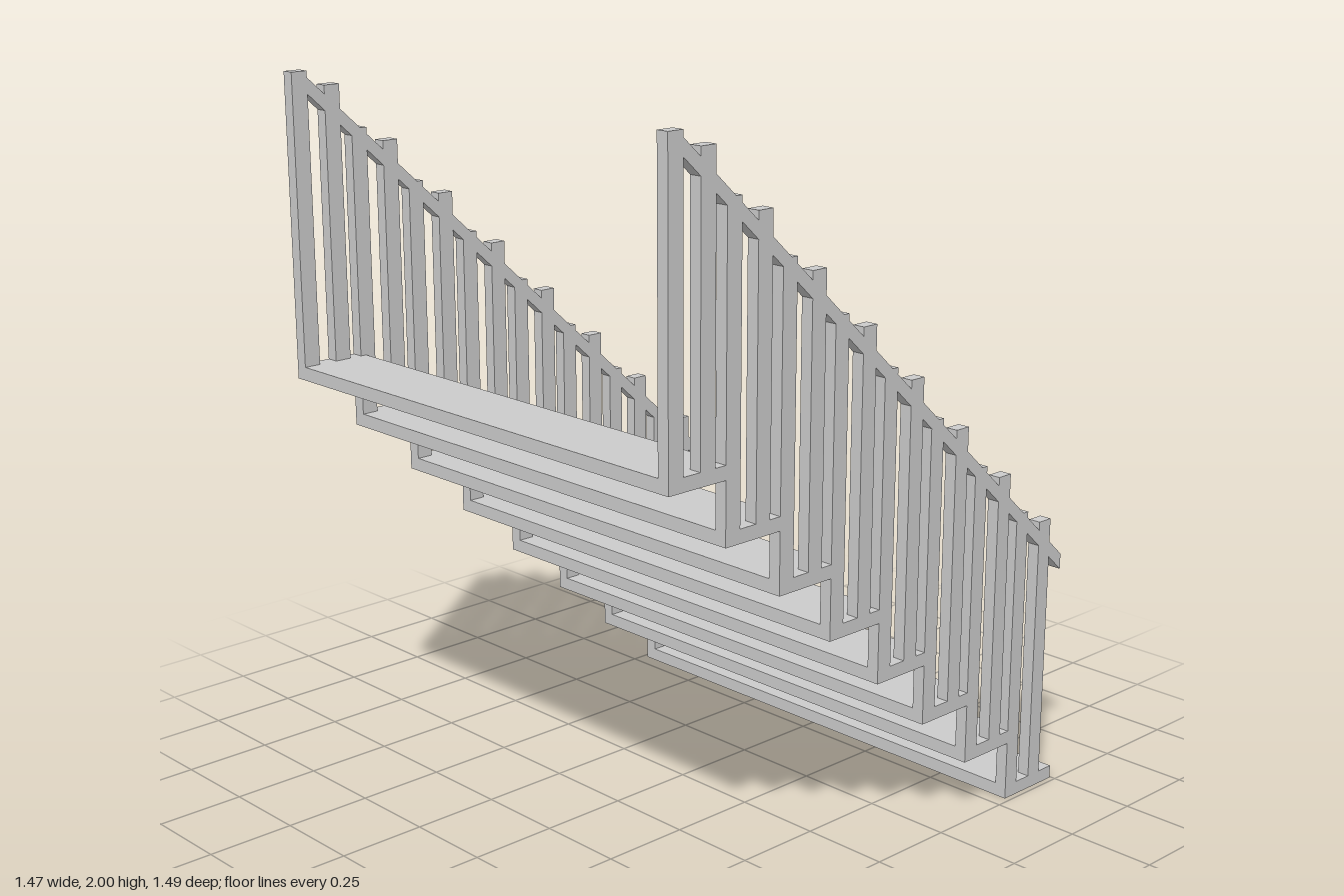
import * as THREE from 'three';

export function createModel() {
  const model = new THREE.Group();
  model.name = 'staircase';
  const material = new THREE.MeshStandardMaterial({ color: 0xcccccc, flatShading: true });

  const steps = 8, rise = 0.1668, run = 0.184;
  const halfWidth = 0.735, treadHeight = 0.037, treadDepth = 0.202;
  const postWidth = 0.035, postDepth = 0.048;

  // Box given by its x centre, bottom and front edge
  function addBox(parent, name, width, height, depth, x, bottom, front) {
    const mesh = new THREE.Mesh(new THREE.BoxGeometry(width, height, depth), material);
    mesh.name = name;
    mesh.position.set(x, bottom + height / 2, front - depth / 2);
    parent.add(mesh);
  }

  // Treads, climbing towards the front
  const frontEdge = (i) => -0.543 + run * i;
  for (let i = 0; i < steps; i++) {
    addBox(model, 'tread', halfWidth * 2, treadHeight, treadDepth, 0, rise * i, frontEdge(i));
  }

  // Sloping handrail outline in (z, y), with upright cut ends
  const slope = rise / run;
  const railTop = (z) => 0.675 + (z + 0.745) * slope;
  const low = -0.745, high = 0.71, thickness = 0.044;
  const outline = new THREE.Shape([
    new THREE.Vector2(low, railTop(low) - thickness),
    new THREE.Vector2(high, railTop(high) - thickness),
    new THREE.Vector2(high, railTop(high)),
    new THREE.Vector2(low, railTop(low)),
  ]);
  const railGeometry = new THREE.ExtrudeGeometry(outline, { depth: postWidth, bevelEnabled: false });
  railGeometry.translate(0, 0, -postWidth / 2);
  railGeometry.rotateY(-Math.PI / 2);

  // One railing on each side: two posts per tread and a handrail
  for (const side of [-1, 1]) {
    const railing = new THREE.Group();
    railing.name = side > 0 ? 'leftRailing' : 'rightRailing';
    const x = side * (halfWidth - postWidth / 2);
    for (let i = 0; i < steps; i++) {
      const bottom = rise * i + treadHeight;
      addBox(railing, 'frontPost', postWidth, 0.7955, postDepth, x, bottom, frontEdge(i));
      addBox(railing, 'backPost', postWidth, 0.753, postDepth, x, bottom, frontEdge(i) - 0.101);
    }
    const rail = new THREE.Mesh(railGeometry, material);
    rail.name = 'handrail';
    rail.position.x = x;
    railing.add(rail);
    model.add(railing);
  }
  return model;
}
